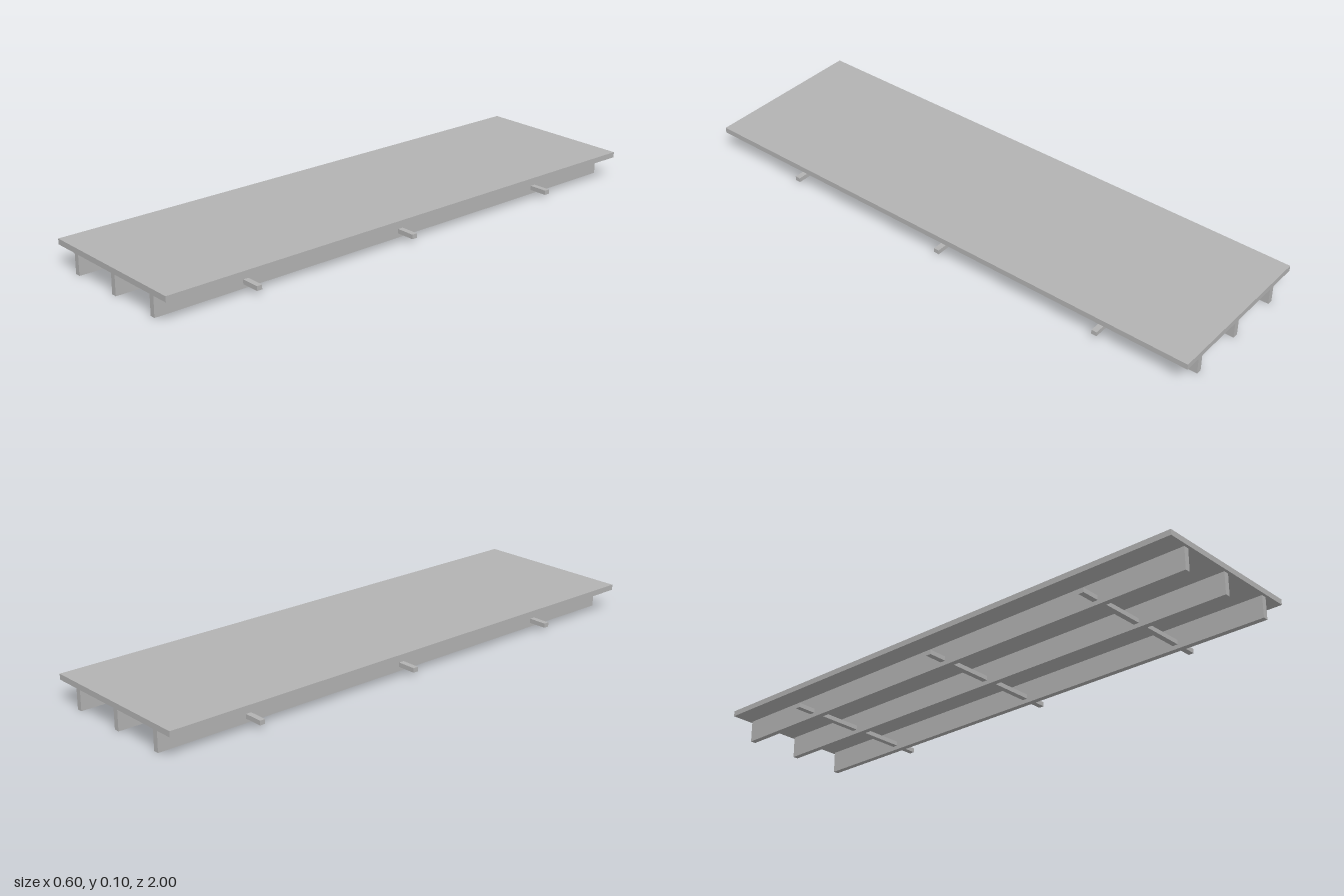
import * as THREE from 'three';

export function createModel() {
  const group = new THREE.Group();
  const grey = new THREE.MeshStandardMaterial({ color: 0xb2b2b2 });
  grey.name = 'grey';

  const box = (name, w, h, d, x, y, z) => {
    const mesh = new THREE.Mesh(new THREE.BoxGeometry(w, h, d), grey);
    mesh.name = name;
    mesh.position.set(x, y, z);
    group.add(mesh);
  };

  // Flat deck panel
  box('deck', 0.6, 0.02, 2, 0, 0.09, 0);

  // Three lengthwise beams under the deck
  ['rightBeam', 'middleBeam', 'leftBeam'].forEach((name, i) =>
    box(name, 0.02, 0.08, 1.98, (i - 1) * 0.21, 0.04, 0));

  // Three crossbars running through the beams
  ['backCrossbar', 'middleCrossbar', 'frontCrossbar'].forEach((name, i) =>
    box(name, 0.58, 0.016, 0.02, 0, 0.023, (i - 1) * 0.65));

  return group;
}
